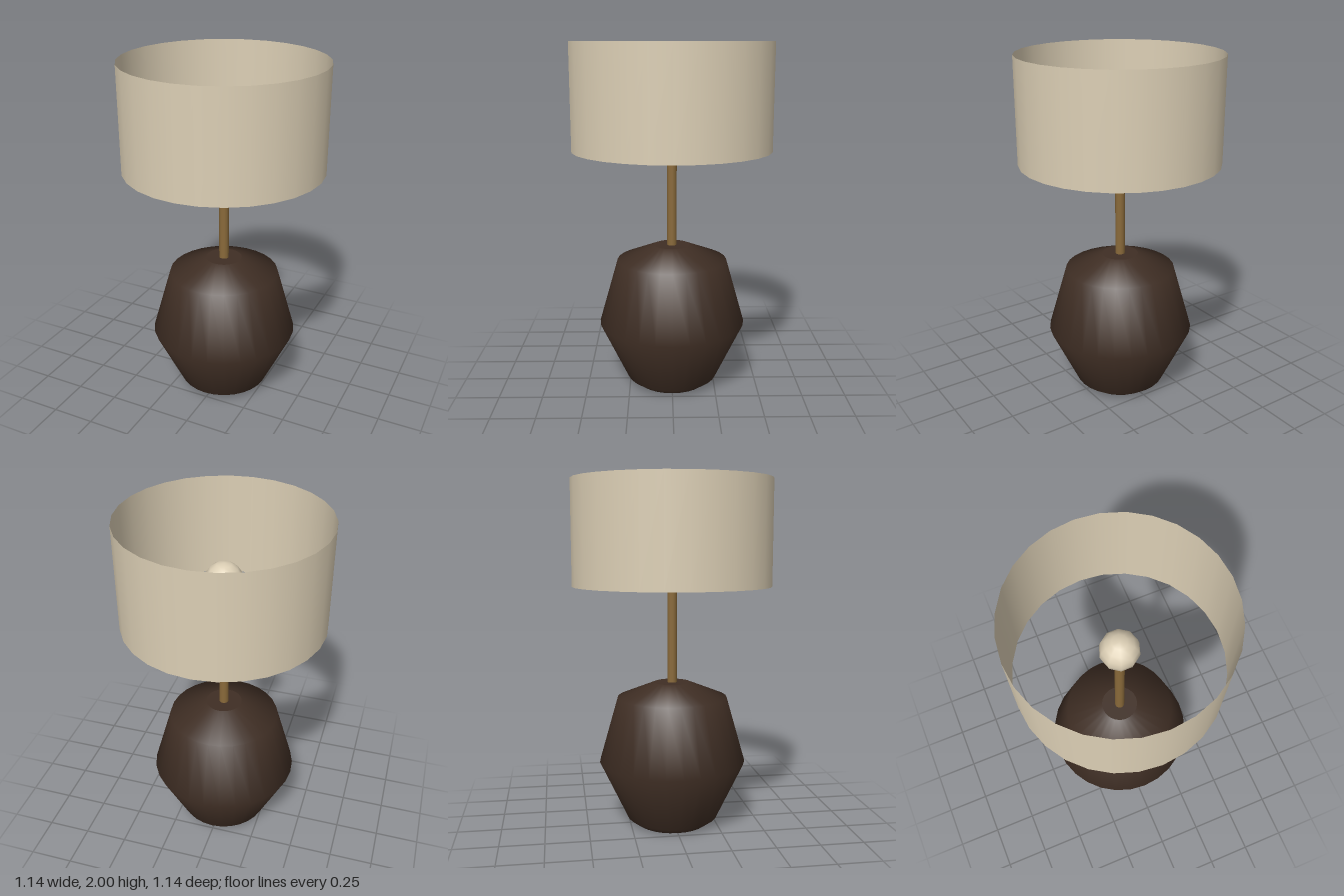
import * as THREE from 'three';

const material = (name, color, extra = {}) =>
  Object.assign(new THREE.MeshStandardMaterial({ color, ...extra }), { name });

export function createModel() {
  const lamp = new THREE.Group();
  lamp.name = 'tableLamp';
  const darkWood = material('dark brown', 0x3f2e24);
  const brass = material('brass', 0x8a6a3a);
  const linen = material('cream linen', 0xdccfb5, { side: THREE.DoubleSide });

  const add = (name, geometry, mat, y = 0) => {
    const mesh = new THREE.Mesh(geometry, mat);
    mesh.name = name;
    mesh.position.y = y;
    lamp.add(mesh);
    return mesh;
  };

  // Faceted-profile body, smooth around its axis
  const profile = [[0.21, 0], [0.265, 0.04], [0.426, 0.378], [0.318, 0.757], [0.105, 0.843]]
    .map(([r, y]) => new THREE.Vector2(r, y));
  add('baseBody', new THREE.LatheGeometry(profile, 28), darkWood);

  // Flat discs closing the body, turned to share the body's corners
  const top = add('baseTop', new THREE.CircleGeometry(0.105, 28), darkWood, 0.843);
  top.rotation.x = -Math.PI / 2;
  const bottom = add('baseBottom', new THREE.CircleGeometry(0.21, 28), darkWood);
  bottom.rotation.x = Math.PI / 2;

  // Stem
  add('stem', new THREE.CylinderGeometry(0.028, 0.028, 0.76, 12), brass, 1.21);

  // Bulb
  add('bulb', new THREE.SphereGeometry(0.107, 10, 8), linen, 1.645);

  // Open drum shade
  add('shade', new THREE.CylinderGeometry(0.57, 0.57, 0.6, 28, 1, true), linen, 1.7);

  return lamp;
}
